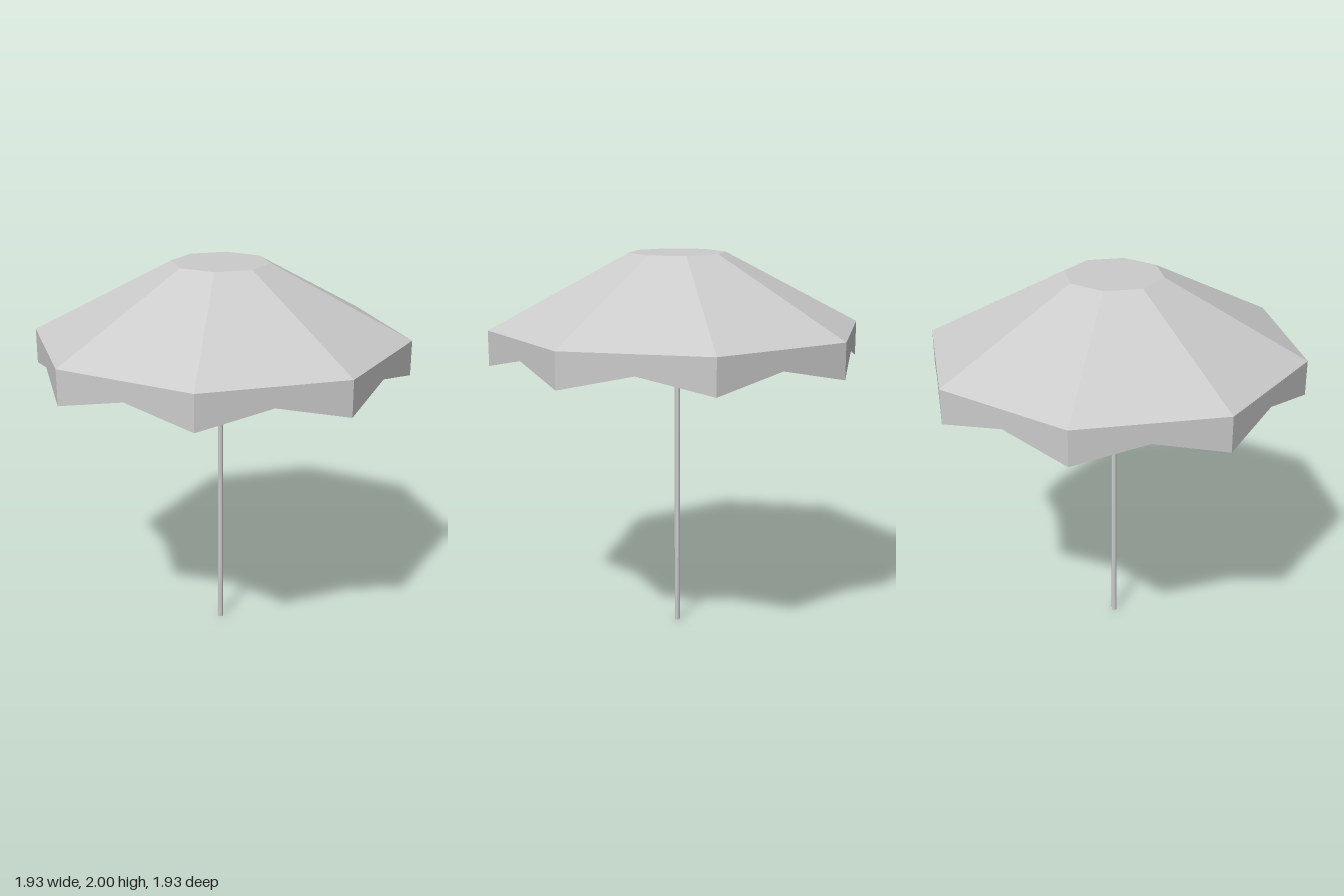
import * as THREE from 'three';

const SIDES = 8;
const RIM = 0.965, RIM_Y = 1.625;
const TOP_R = 0.25, TOP_Y = 2;
const POINT_Y = 1.445, NOTCH_Y = 1.525;

const cloth = new THREE.MeshStandardMaterial({ color: 0xcccccc, flatShading: true, side: THREE.DoubleSide });
const solid = new THREE.MeshStandardMaterial({ color: 0xcccccc, flatShading: true });

function part(name, geometry, material) {
  const mesh = new THREE.Mesh(geometry, material);
  mesh.name = name;
  return mesh;
}

// Hanging skirt: points under each rib, a raised notch halfway between ribs
function valanceGeometry() {
  const h = RIM_Y - POINT_Y;
  const geo = new THREE.CylinderGeometry(RIM, RIM, h, SIDES * 2, 1, true);
  geo.translate(0, POINT_Y + h / 2, 0);
  const pos = geo.attributes.position;
  const flat = Math.cos(Math.PI / SIDES);
  const columns = SIDES * 2 + 1;
  for (let i = 0; i < pos.count; i++) {
    if ((i % columns) % 2 === 0) continue;
    // Pull the middle column onto the straight edge of the octagon
    const y = i >= columns ? NOTCH_Y : RIM_Y;
    pos.setXYZ(i, pos.getX(i) * flat, y, pos.getZ(i) * flat);
  }
  geo.computeVertexNormals();
  return geo;
}

export function createModel() {
  const parasol = new THREE.Group();
  parasol.name = 'parasol';

  // Eight-panel canopy with a flat crown, open underneath
  const panelH = TOP_Y - RIM_Y;
  const panels = new THREE.CylinderGeometry(TOP_R, RIM, panelH, SIDES, 1, true);
  panels.translate(0, RIM_Y + panelH / 2, 0);
  parasol.add(part('canopy', panels, cloth));

  const crown = new THREE.CircleGeometry(TOP_R, SIDES);
  crown.rotateX(-Math.PI / 2);
  crown.translate(0, TOP_Y, 0);
  parasol.add(part('crown', crown, cloth));

  parasol.add(part('valance', valanceGeometry(), cloth));

  // Thin pole up to the underside of the crown
  const poleH = TOP_Y - 0.005;
  const pole = new THREE.CylinderGeometry(0.014, 0.014, poleH, SIDES);
  pole.translate(0, poleH / 2, 0);
  parasol.add(part('pole', pole, solid));

  return parasol;
}
